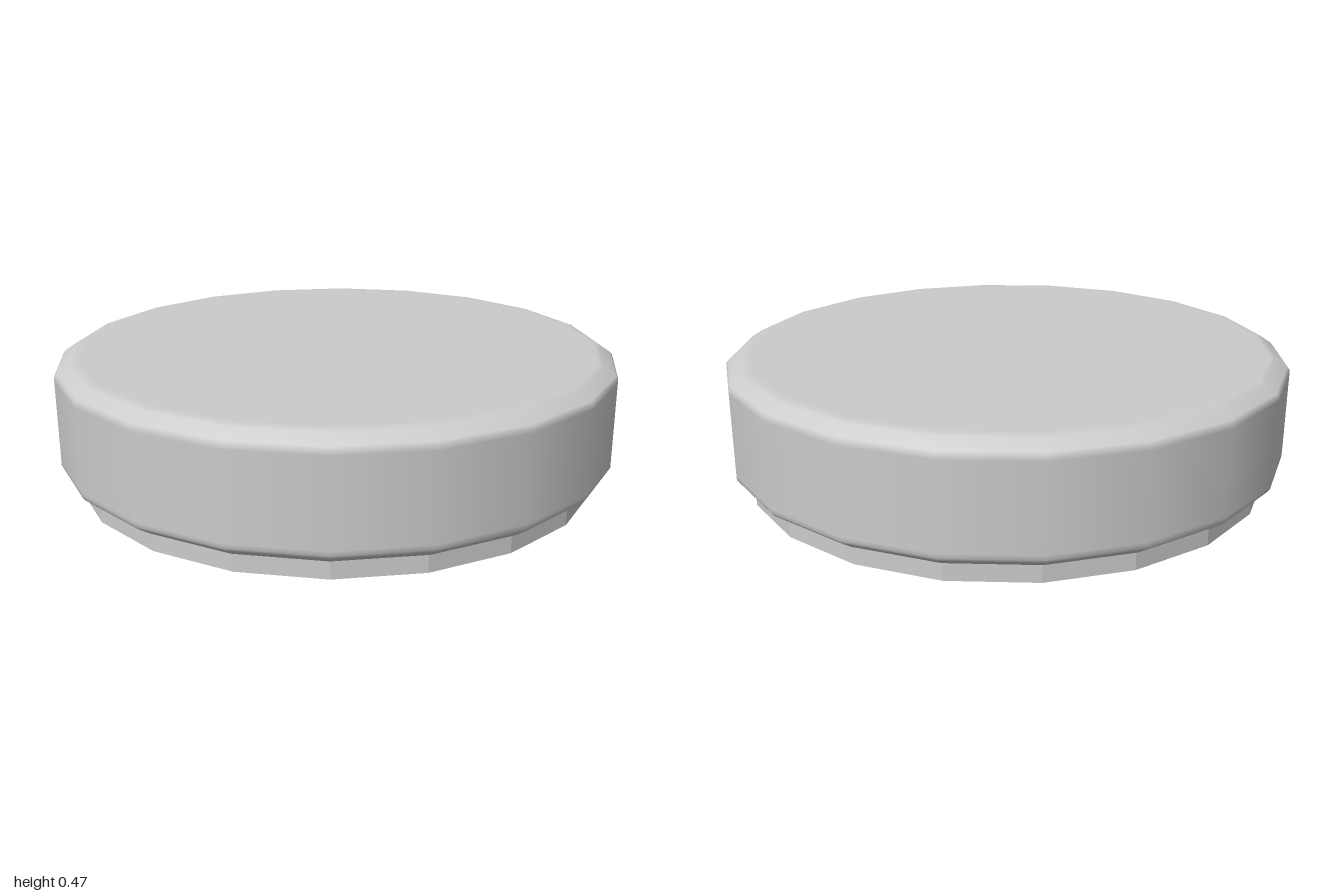
import * as THREE from 'three';

const SIDES = 20;

// Turns a [radius, height] profile into a 20-sided open shell
function lathe(name, profile, flatShading) {
  const points = profile.map(([r, y]) => new THREE.Vector2(r, y));
  const material = new THREE.MeshStandardMaterial({
    color: 0xcccccc, side: THREE.DoubleSide, flatShading,
  });
  const mesh = new THREE.Mesh(new THREE.LatheGeometry(points, SIDES), material);
  mesh.name = name;
  return mesh;
}

export function createModel() {
  const lid = new THREE.Group();
  lid.name = 'lid';

  // Hollow cap: bevelled underside, straight wall, bevelled rim and flat top
  lid.add(lathe('cap', [
    [0.94, 0.06], [0.95, 0.064], [0.992, 0.093], [1, 0.105],
    [1, 0.12], [1, 0.41],
    [1, 0.425], [0.992, 0.435], [0.95, 0.463], [0.935, 0.468],
    [0.91, 0.468], [0, 0.468],
  ], false));

  // Thin faceted collar below the cap, open at the bottom
  lid.add(lathe('collar', [[0.94, 0], [0.94, 0.06]], true));

  // The lid is very slightly oval
  lid.scale.z = 0.985;
  return lid;
}
